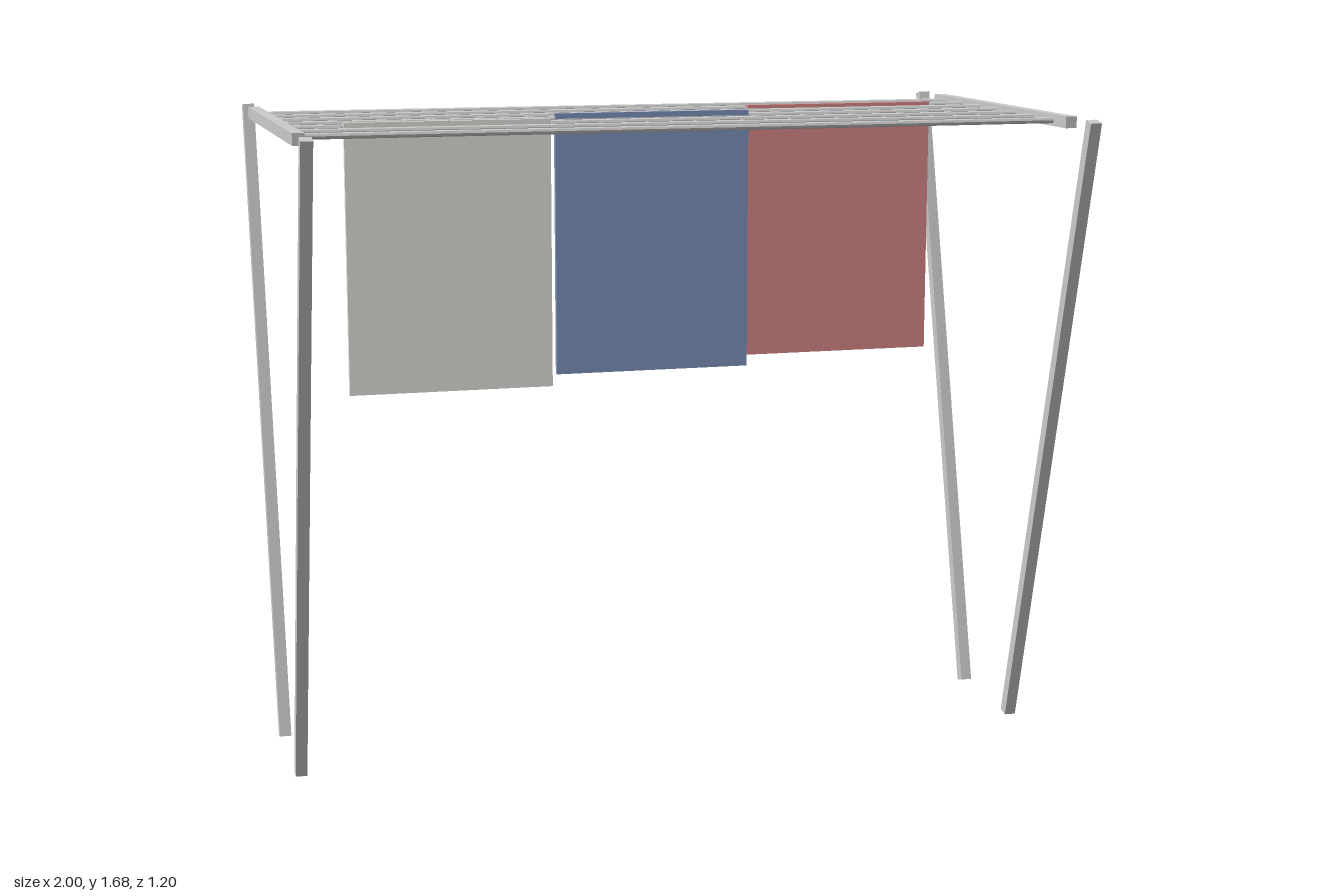
import * as THREE from 'three';

const TOP = 1.675, BAR = 0.03, SIDE_X = 0.985;

export function createModel() {
  const model = new THREE.Group();
  model.name = 'clothesDryingRack';
  const frame = new THREE.MeshStandardMaterial({ color: 0xcccccc, flatShading: true });

  function add(name, geometry, material, x, y, z) {
    const mesh = new THREE.Mesh(geometry, material);
    mesh.name = name;
    mesh.position.set(x, y, z);
    model.add(mesh);
    return mesh;
  }

  // Splayed legs and end rails
  const tilt = 0.25;
  const legLength = (TOP - BAR * Math.sin(tilt)) / Math.cos(tilt);
  const legGeometry = new THREE.BoxGeometry(BAR, legLength, BAR);
  const railGeometry = new THREE.BoxGeometry(BAR, BAR, 0.9);
  for (const [side, sx] of [['left', 1], ['right', -1]]) {
    add(side + 'Rail', railGeometry, frame, sx * SIDE_X, TOP - BAR / 2, 0);
    for (const [end, sz] of [['Front', 1], ['Back', -1]]) {
      const leg = add(side + end + 'Leg', legGeometry, frame, sx * SIDE_X, TOP / 2, sz * 0.371);
      leg.rotation.x = sz * tilt;
    }
  }

  // Hanging rods
  const rodGeometry = new THREE.CylinderGeometry(0.008, 0.008, SIDE_X * 2, 8).rotateZ(Math.PI / 2);
  for (let i = -3; i <= 3; i++) {
    add('rod' + (i + 4), rodGeometry, frame, 0, TOP - BAR / 2, i * 0.1227);
  }

  // Hanging cloths, staggered from front to back
  const clothGeometry = new THREE.BoxGeometry(0.524, 0.685, 0.015);
  [['whiteCloth', 0xeeeee8], ['blueCloth', 0x859bc8], ['redCloth', 0xe48f90]].forEach(([name, color], i) => {
    const material = new THREE.MeshStandardMaterial({ color });
    add(name, clothGeometry, material, (i - 1) * 0.574, TOP - 0.3425, (1 - i) * 0.164);
  });

  return model;
}
